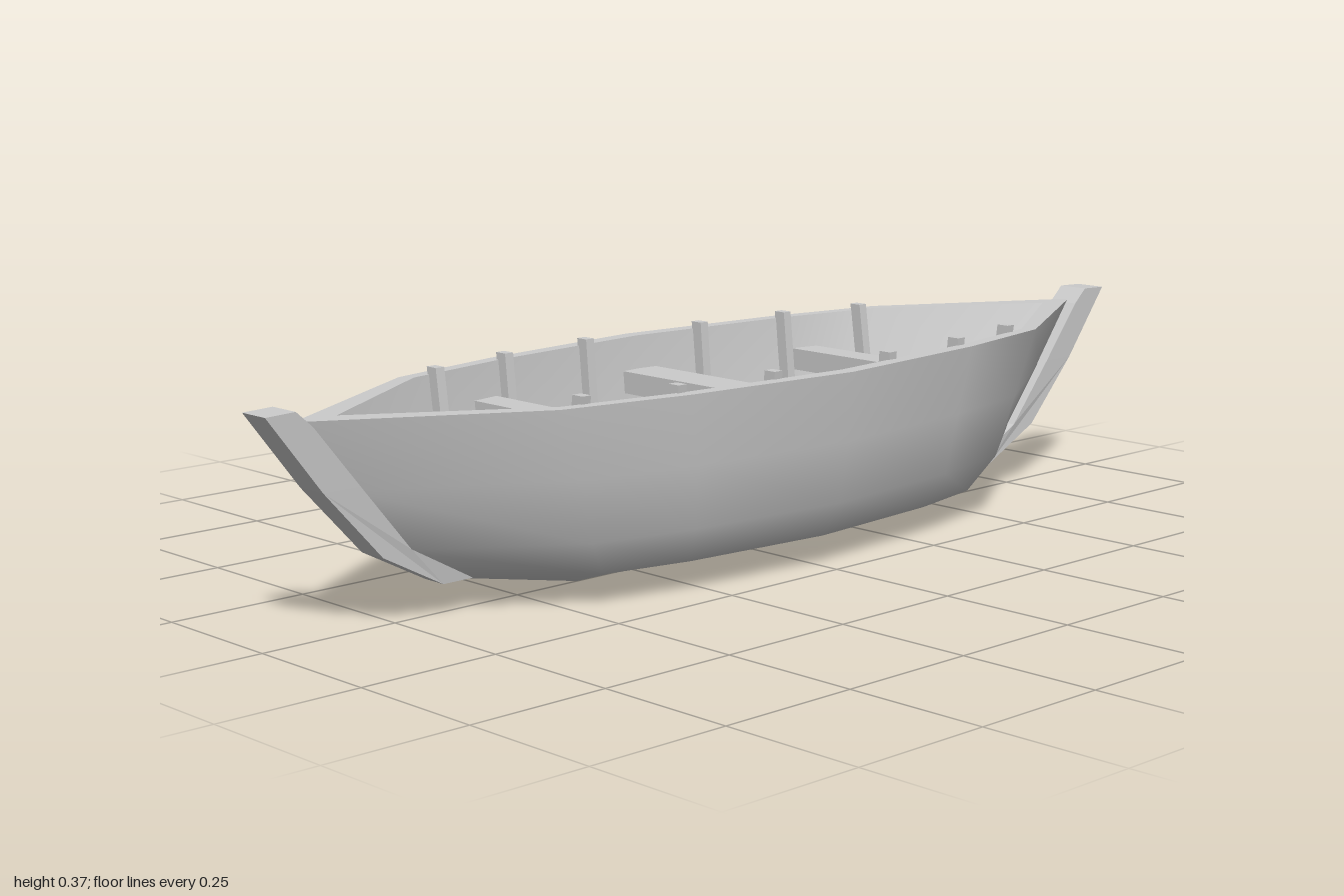
import * as THREE from 'three';
import { toCreasedNormals } from 'three/addons/utils/BufferGeometryUtils.js';

const material = new THREE.MeshStandardMaterial({ color: 0xcccccc });

// Each level: height, tip x, half beam, fullness (x fractions of the two shoulder points)
const outer = [
  [0.057, 0.64, 0.217, 0.70, 0.45],
  [0.12, 0.75, 0.255, 0.66, 0.41],
  [0.23, 0.84, 0.275, 0.63, 0.38],
  [0.35, 0.93, 0.285, 0.62, 0.37],
];
const inner = [
  [0.35, 0.85, 0.256, 0.66, 0.40],
  [0.23, 0.765, 0.245, 0.67, 0.42],
  [0.12, 0.66, 0.222, 0.70, 0.46],
  [0.075, 0.56, 0.18, 0.75, 0.56],
];

// Quarter outline of a level, from the tip to amidships
function quarter([y, tip, beam, u1, u2]) {
  return [[tip, y, 0], [tip * u1, y, beam * 0.72], [tip * u2, y, beam * 0.88], [0, y, beam]];
}

// Mirror a quarter outline into a closed ring of 12 points
function ring(q) {
  const front = [...q, ...q.slice(0, 3).reverse().map(([x, y, z]) => [-x, y, z])];
  const back = front.slice(1, 6).reverse().map(([x, y, z]) => [x, y, -z]);
  return [...front, ...back];
}

// Closed shell: keel, up the outside, over the gunwale, down the inside, floor
function hullGeometry() {
  const keel = [[0.64, 0.057, 0], [0.37, 0.003, 0], [0.26, 0.003, 0], [0, 0.003, 0]];
  const floor = quarter(inner[3]).map(([x, y]) => [x, y, 0]);
  const rows = [keel, ...outer.map(quarter), ...inner.map(quarter), floor].map(ring);
  const n = rows[0].length;
  const index = [];
  for (let r = 0; r < rows.length - 1; r++) {
    for (let c = 0; c < n; c++) {
      const a = r * n + c, b = r * n + (c + 1) % n;
      index.push(a, a + n, b + n, a, b + n, b);
    }
  }
  const geo = new THREE.BufferGeometry();
  geo.setAttribute('position', new THREE.Float32BufferAttribute(rows.flat(2), 3));
  geo.setIndex(index);
  return toCreasedNormals(geo, 0.85);
}

// Inner wall half width of a level at a given x
function wallAt(level, x) {
  const q = quarter(level);
  for (let i = 0; i < 3; i++) {
    const [xa, , za] = q[i], [xb, , zb] = q[i + 1];
    if (x <= xa && x >= xb) return za + (zb - za) * (xa - x) / (xa - xb);
  }
  return 0;
}

// Rib following the inner wall from the floor to just above the gunwale
function ribGeometry(x) {
  const wall = inner.map((l, i) => [wallAt(l, Math.abs(x)), i === 0 ? 0.363 : l[0]]);
  const points = [
    ...wall.map(([z, y]) => new THREE.Vector2(z + 0.004, y)),
    ...wall.reverse().map(([z, y]) => new THREE.Vector2(z - 0.02, y)),
  ];
  const geo = new THREE.ExtrudeGeometry(new THREE.Shape(points), { depth: 0.018, bevelEnabled: false });
  return geo.translate(0, 0, -0.009).rotateY(-Math.PI / 2).translate(x, 0, 0);
}

// Stem post: bent profile, slightly narrower at the foot
function stemGeometry() {
  const profile = [[1, 0.37], [0.9, 0.24], [0.79, 0.12], [0.67, 0.056], [0.61, 0.056],
    [0.735, 0.125], [0.83, 0.24], [0.915, 0.345], [0.945, 0.372]];
  const shape = new THREE.Shape(profile.map(([x, y]) => new THREE.Vector2(x, y)));
  const geo = new THREE.ExtrudeGeometry(shape, { depth: 0.06, bevelEnabled: false }).translate(0, 0, -0.03);
  const p = geo.attributes.position;
  for (let i = 0; i < p.count; i++) {
    const t = Math.min(1, (p.getY(i) - 0.05) / 0.1);
    p.setZ(i, p.getZ(i) * (0.76 + 0.24 * t));
  }
  geo.computeVertexNormals();
  return geo;
}

export function createModel() {
  const boat = new THREE.Group();
  boat.name = 'rowingBoat';
  const add = (name, geo, turn = 0) => {
    const mesh = new THREE.Mesh(geo, material);
    mesh.name = name;
    mesh.rotation.y = turn;
    boat.add(mesh);
  };

  add('hull', hullGeometry());

  // Posts at both ends
  add('leftStem', stemGeometry());
  add('rightStem', stemGeometry(), Math.PI);

  // Ribs along both sides
  for (const x of [-0.515, -0.34, -0.14, 0.14, 0.34, 0.515]) {
    add('frontRib', ribGeometry(x));
    add('backRib', ribGeometry(x), Math.PI);
  }

  // Benches across the boat
  for (const [x, width, length] of [[-0.39, 0.056, 0.43], [0, 0.08, 0.505], [0.39, 0.056, 0.43]]) {
    add('bench', new THREE.BoxGeometry(width, 0.04, length).translate(x, 0.27, 0));
  }
  return boat;
}
